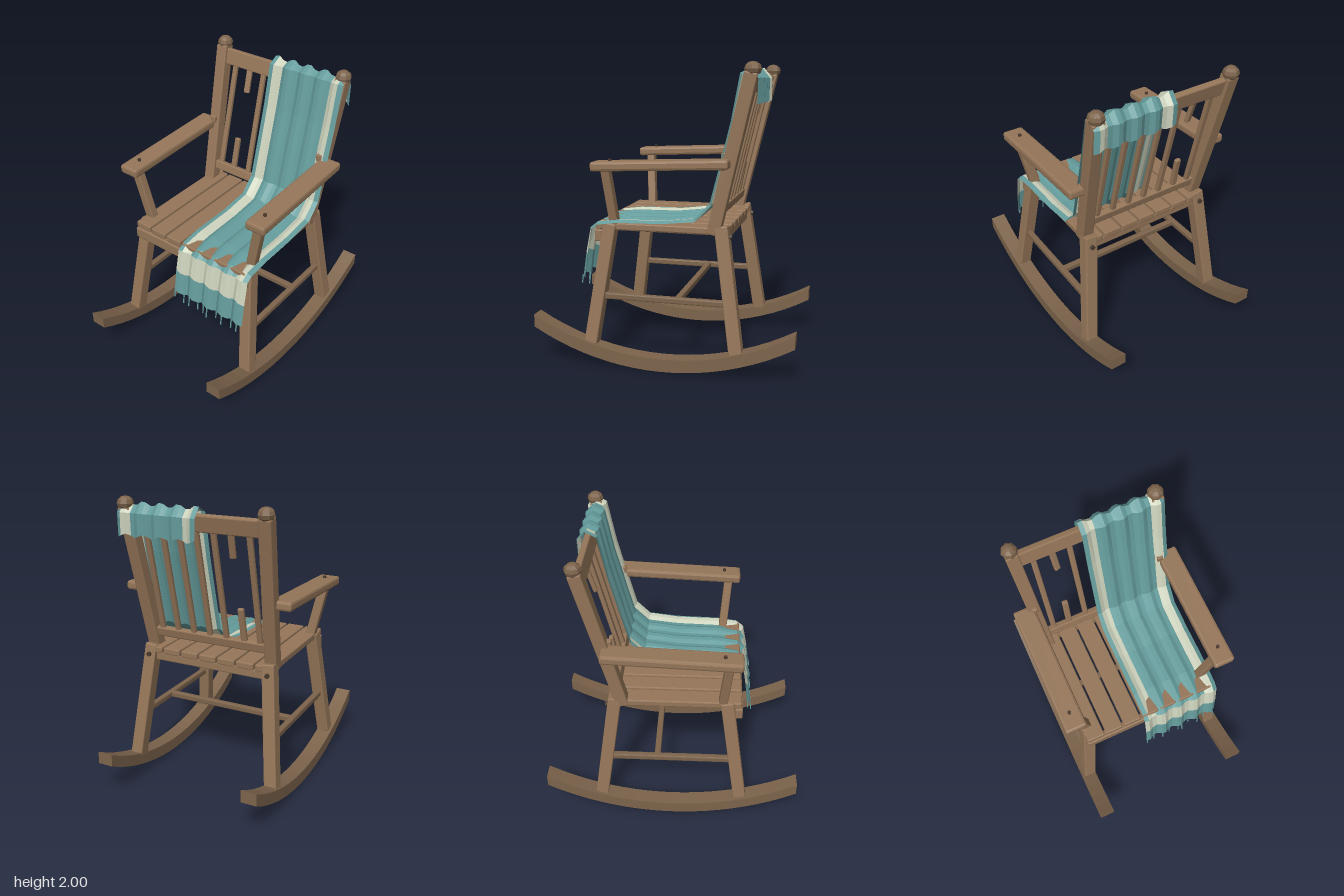
import * as THREE from 'three';
import { RoundedBoxGeometry } from 'three/addons/geometries/RoundedBoxGeometry.js';

const mat = (name, color, extra = {}) => {
  const m = new THREE.MeshStandardMaterial({ color, flatShading: true, ...extra });
  m.name = name;
  return m;
};

export function createModel() {
  const chair = new THREE.Group();
  chair.name = 'rockingChair';
  const wood = mat('wood', 0x957659);
  const darkWood = mat('darkWood', 0x7d644c);
  const peg = mat('peg', 0x4a3a2e);
  const teal = mat('tealCloth', 0x659c9c, { side: THREE.DoubleSide });
  const cream = mat('creamCloth', 0xccd2bc, { side: THREE.DoubleSide });
  const Y = new THREE.Vector3(0, 1, 0);

  const add = (name, geometry, material, x = 0, y = 0, z = 0) => {
    const mesh = new THREE.Mesh(geometry, material);
    mesh.name = name;
    mesh.position.set(x, y, z);
    chair.add(mesh);
    return mesh;
  };
  // Chamfered block
  const block = (name, w, h, d, x, y, z, material = wood, r = 0.008) =>
    add(name, new RoundedBoxGeometry(w, h, d, 1, r), material, x, y, z);
  // Chamfered beam running from a to b
  const beam = (name, a, b, w, d, material = wood) => {
    const p = new THREE.Vector3(...a), q = new THREE.Vector3(...b);
    const dir = q.clone().sub(p), mid = p.clone().add(q).multiplyScalar(0.5);
    const mesh = block(name, w, dir.length(), d, mid.x, mid.y, mid.z, material);
    mesh.quaternion.setFromUnitVectors(Y, dir.normalize());
    return mesh;
  };
  // Depth of the leaning back at height y
  const backZ = (y) => -0.33 - 0.233 * (y - 0.92);
  const lean = -Math.atan(0.233);

  // Rocker outline: constant height, curved along z, cut square at the ends
  const R = 1.765, half = 0.88, steps = 20;
  const arc = (z) => R - Math.sqrt(R * R - z * z);
  const outline = [];
  for (let i = 0; i <= steps; i++) {
    const z = -half + (2 * half * i) / steps;
    outline.push(new THREE.Vector2(-z, arc(z)));
  }
  for (let i = steps; i >= 0; i--) {
    const z = -half + (2 * half * i) / steps;
    outline.push(new THREE.Vector2(-z, arc(z) + 0.085));
  }
  const rockerGeo = new THREE.ExtrudeGeometry(new THREE.Shape(outline), { depth: 0.108, bevelEnabled: false });
  rockerGeo.translate(0, 0, -0.054).rotateY(Math.PI / 2);

  for (const [side, s] of [['left', 1], ['right', -1]]) {
    add(side + 'Rocker', rockerGeo, darkWood, s * 0.535);
    beam(side + 'FrontLeg', [s * 0.525, 0.14, 0.487], [s * 0.44, 0.95, 0.368], 0.088, 0.088);
    beam(side + 'RearLeg', [s * 0.525, 0.14, -0.5], [s * 0.44, 0.965, -0.38], 0.088, 0.088);
    beam(side + 'SideStretcher', [s * 0.493, 0.465, 0.42], [s * 0.493, 0.465, -0.43], 0.042, 0.042, darkWood);
    beam(side + 'BackPost', [s * 0.44, 0.91, backZ(0.91)], [s * 0.488, 1.935, backZ(1.935)], 0.085, 0.085);

    // Faceted knob on the post
    const knob = add(side + 'Finial', new THREE.SphereGeometry(0.055, 8, 6), darkWood, s * 0.488, 1.953, -0.572);
    knob.scale.y = 0.86;

    // Arm with its support and pegs
    beam(side + 'ArmSupport', [s * 0.44, 0.94, 0.34], [s * 0.525, 1.335, 0.372], 0.066, 0.058);
    const arm = block(side + 'Arm', 0.145, 0.062, 0.9, s * 0.53, 1.358, 0.005, wood, 0.016);
    arm.rotation.x = 0.04;
    add(side + 'ArmPeg', new THREE.CylinderGeometry(0.012, 0.012, 0.02, 8), peg, s * 0.53, 1.38, 0.338);
    block(side + 'PostPeg', 0.04, 0.05, 0.035, s * 0.46, 1.415, -0.395, wood);
    const legPeg = add(side + 'RearLegPeg', new THREE.CylinderGeometry(0.016, 0.016, 0.03, 8), peg, s * 0.447, 0.9, -0.435);
    legPeg.rotation.x = Math.PI / 2;
    block(side + 'SeatRail', 0.05, 0.045, 0.74, s * 0.425, 0.925, 0, wood);
  }

  // Seat boards, aprons and the stretcher between the sides
  for (let i = -3; i <= 3; i++) {
    block('seatBoard', 0.124, 0.046, 0.89, i * 0.138, 0.935, 0.02);
  }
  block('frontApron', 0.96, 0.08, 0.052, 0, 0.868, 0.448);
  block('rearApron', 0.86, 0.06, 0.045, 0, 0.885, -0.385);
  block('crossStretcher', 0.98, 0.042, 0.042, 0, 0.465, -0.1, darkWood);

  // Back rails and spindles; the second spindle is snapped
  block('topRail', 0.92, 0.112, 0.045, 0, 1.865, backZ(1.865)).rotation.x = lean;
  block('lowerRail', 0.86, 0.066, 0.045, 0, 1.06, backZ(1.06)).rotation.x = lean;
  for (let i = -3; i <= 3; i++) {
    const x = i * 0.122;
    if (i === -2) {
      beam('brokenSpindleLower', [x - 0.008, 1.06, backZ(1.06)], [x - 0.002, 1.315, backZ(1.315) + 0.01], 0.042, 0.03);
      beam('brokenSpindleUpper', [x + 0.002, 1.85, backZ(1.85)], [x + 0.01, 1.655, backZ(1.655) + 0.01], 0.042, 0.03);
    } else {
      beam('spindle', [x, 1.06, backZ(1.06)], [x, 1.84, backZ(1.84)], 0.037, 0.03);
    }
  }

  // Blanket: profile of [z, y, wave size], from the flap behind to the front hem
  const profile = [
    [-0.615, 1.755, 0.014], [-0.618, 1.9, 0.012], [-0.568, 1.957, 0.016], [-0.505, 1.925, 0.014],
    [-0.447, 1.63, 0.01], [-0.378, 1.35, 0.01], [-0.318, 1.11, 0.012], [-0.215, 1.005, 0.013],
    [0, 0.98, 0.01], [0.3, 0.974, 0.012], [0.445, 0.955, 0.012], [0.49, 0.92, 0.012],
    [0.522, 0.755, 0.014], [0.545, 0.59, 0.016],
  ];
  const cols = 18, rows = profile.length;
  const point = (r, c) => {
    const a = profile[Math.max(r - 1, 0)], b = profile[Math.min(r + 1, rows - 1)];
    const [z, y, amp] = profile[r];
    const dz = b[0] - a[0], dy = b[1] - a[1], len = Math.hypot(dz, dy);
    const w = amp * Math.sin((c * Math.PI) / 2 + 0.6);
    const droop = r === 0 || r >= rows - 2 ? 0.014 * Math.cos((c * Math.PI) / 2) : 0;
    return [-0.04 - 0.022 * (r / (rows - 1)) + (0.57 * c) / cols, y + (w * dz) / len + droop, z - (w * dy) / len];
  };
  const cloth = { teal: [], cream: [] };
  for (let r = 0; r < rows - 1; r++) {
    for (let c = 0; c < cols; c++) {
      const stripe = c === 1 || c === 2 || c === 15 || c === 16;
      const creamCell = r === rows - 3 || (stripe && r < rows - 3);
      const A = point(r, c), B = point(r + 1, c), C = point(r + 1, c + 1), D = point(r, c + 1);
      (creamCell ? cloth.cream : cloth.teal).push(...A, ...B, ...C, ...A, ...C, ...D);
    }
  }
  for (const [key, material] of [['teal', teal], ['cream', cream]]) {
    const g = new THREE.BufferGeometry();
    g.setAttribute('position', new THREE.Float32BufferAttribute(cloth[key], 3));
    g.computeVertexNormals();
    add(key + 'Blanket', g, material);
  }

  // Fringe threads under the hem
  for (let i = 0; i < 10; i++) {
    const [x, y, z] = point(rows - 1, 0.5 + i * 1.88 | 0);
    const length = 0.06 + 0.02 * ((i * 7) % 3) / 2;
    const thread = add('fringe', new THREE.BoxGeometry(0.007, length, 0.007), teal, x + 0.005, y - length / 2 + 0.005, z + 0.004);
    thread.rotation.x = -0.12;
  }
  return chair;
}
